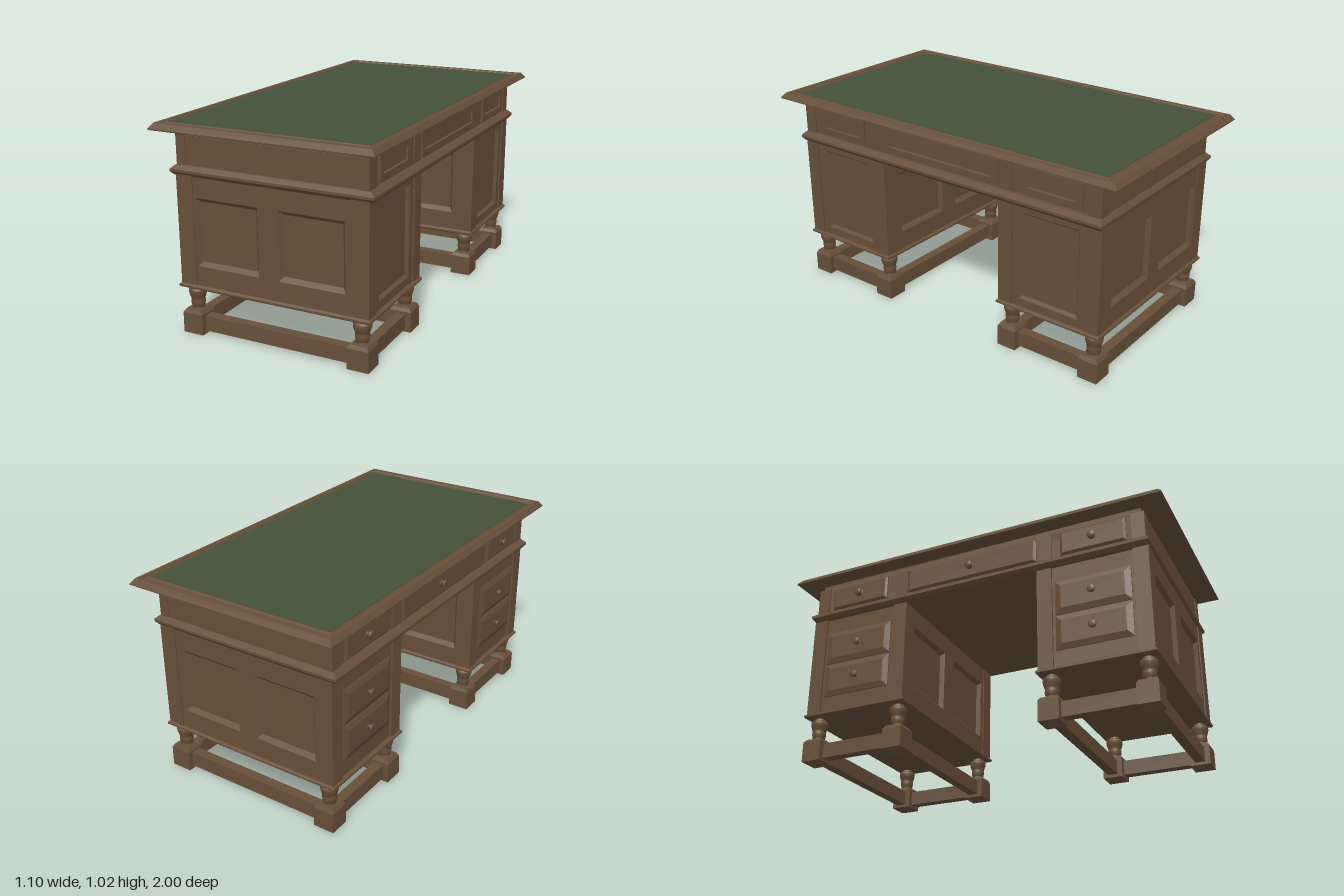
import * as THREE from 'three';

const wood = new THREE.MeshStandardMaterial({ color: 0x674f39 });
wood.name = 'brown wood';
const leather = new THREE.MeshStandardMaterial({ color: 0x43523a });
leather.name = 'green leather';

function add(parent, name, geometry, x = 0, y = 0, z = 0, material = wood) {
  const mesh = new THREE.Mesh(geometry, material);
  mesh.name = name;
  mesh.position.set(x, y, z);
  parent.add(mesh);
  return mesh;
}

const box = (w, h, d) => new THREE.BoxGeometry(w, h, d);

// Flat-sided skin through rectangles [halfWidth, halfHeight, level], closed at its ends
function loft(rings, startCap = true) {
  const pos = [];
  const corners = rings.map(([a, b, h]) => [[-a, -b, h], [a, -b, h], [a, b, h], [-a, b, h]]);
  const quad = (p, q, r, s) => pos.push(...p, ...q, ...r, ...p, ...r, ...s);
  for (let i = 0; i + 1 < corners.length; i++) {
    const p = corners[i], q = corners[i + 1];
    for (let j = 0; j < 4; j++) {
      const k = (j + 1) % 4;
      quad(p[j], p[k], q[k], q[j]);
    }
  }
  quad(...corners[corners.length - 1]);
  if (startCap) quad(...[...corners[0]].reverse());
  const g = new THREE.BufferGeometry();
  g.setAttribute('position', new THREE.Float32BufferAttribute(pos, 3));
  g.computeVertexNormals();
  return g;
}

// The same skin stacked upwards: [halfX, halfZ, y]
const stack = (rings) => loft(rings).rotateX(-Math.PI / 2);

// Rectangular board with rectangular openings [cx, cy, halfW, halfH]
function frame(hw, hh, depth, holes = []) {
  const rect = (path, x, y, w, h) => {
    path.moveTo(x - w, y - h);
    path.lineTo(x + w, y - h);
    path.lineTo(x + w, y + h);
    path.lineTo(x - w, y + h);
    path.closePath();
    return path;
  };
  const shape = rect(new THREE.Shape(), 0, 0, hw, hh);
  for (const h of holes) shape.holes.push(rect(new THREE.Path(), ...h));
  return new THREE.ExtrudeGeometry(shape, { depth, bevelEnabled: false });
}

// Group whose local z points out of one side of the desk
function side(parent, name, angle) {
  const g = new THREE.Group();
  g.name = name;
  g.rotation.y = angle;
  parent.add(g);
  return g;
}

const lathe = (points, segments) =>
  new THREE.LatheGeometry(points.map(([r, y]) => new THREE.Vector2(r, y)), segments);

const knobGeometry = lathe([[0.019, -0.005], [0.019, 0.001], [0.009, 0.003], [0.009, 0.011],
  [0.019, 0.015], [0.02, 0.02], [0.014, 0.025], [0, 0.026]], 16).rotateX(Math.PI / 2);

const turning = new THREE.SplineCurve([[0.03, 0.13], [0.034, 0.148], [0.033, 0.165], [0.036, 0.175],
  [0.042, 0.195], [0.042, 0.212], [0.034, 0.22]].map(([x, y]) => new THREE.Vector2(x, y)));
const legGeometry = new THREE.LatheGeometry([new THREE.Vector2(0.031, 0.105),
  new THREE.Vector2(0.031, 0.12), new THREE.Vector2(0.026, 0.124), ...turning.getPoints(18),
  new THREE.Vector2(0.028, 0.223), new THREE.Vector2(0.028, 0.24)], 20);

function makePedestal() {
  const g = new THREE.Group();
  g.name = 'pedestal';
  add(g, 'cabinetCore', box(0.9, 0.53, 0.49), 0, 0.51, 0);
  add(g, 'baseMoulding', stack([[0.485, 0.28, 0.23], [0.493, 0.284, 0.234],
    [0.493, 0.284, 0.243], [0.482, 0.276, 0.25]]));

  // Panelled ends
  for (const s of [1, -1]) {
    const end = side(g, 'panelledEnd', s > 0 ? 0 : Math.PI);
    const holes = [-0.215, 0.215].map((x) => [x - 0.01 * s, -0.002, 0.164, 0.164]);
    add(end, 'endFrame', frame(0.4, 0.26, 0.03, holes), 0, 0.51, 0.24);
    for (const [x, y] of holes) {
      add(end, 'sunkPanel', loft([[0.164, 0.164, 0], [0.147, 0.144, -0.02]], false), x, 0.51 + y, 0.27);
    }
  }

  // Panelled outer side
  const outer = side(g, 'panelledSide', Math.PI / 2);
  add(outer, 'sideFrame', frame(0.205, 0.26, 0.03, [[0, 0, 0.16, 0.22]]), 0, 0.51, 0.445);
  add(outer, 'sidePanel', loft([[0.16, 0.22, 0], [0.148, 0.208, -0.016]], false), 0, 0.51, 0.475);

  // Drawer side
  const front = side(g, 'drawerSide', -Math.PI / 2);
  add(front, 'drawerFrame', frame(0.205, 0.26, 0.03), 0, 0.51, 0.443);
  for (const y of [0.599, 0.417]) {
    add(front, 'drawer', loft([[0.185, 0.087, 0], [0.185, 0.087, 0.005],
      [0.155, 0.059, 0.014]]), 0, y, 0.473);
    add(front, 'knob', knobGeometry, 0, y, 0.485);
  }

  // Corner posts, turned legs and feet
  for (const sx of [-1, 1]) {
    for (const sz of [-1, 1]) {
      add(g, 'cornerPost', box(0.085, 0.53, 0.075), sx * 0.4405, 0.51, sz * 0.2375);
      add(g, 'turnedLeg', legGeometry, sx * 0.43, 0, sz * 0.228);
      add(g, 'foot', stack([[0.004, 0.004, 0.03], [0.048, 0.046, 0], [0.053, 0.051, 0],
        [0.053, 0.051, 0.1], [0.042, 0.042, 0.117]]), sx * 0.43, 0, sz * 0.228);
    }
  }

  // Stretchers
  for (const s of [-1, 1]) {
    add(g, 'longStretcher', box(0.78, 0.075, 0.05), 0, 0.0525, s * 0.228);
    add(g, 'shortStretcher', box(0.05, 0.075, 0.38), s * 0.43, 0.0525, 0);
  }
  return g;
}

export function createModel() {
  const desk = new THREE.Group();
  desk.name = 'pedestalDesk';

  for (const s of [-1, 1]) {
    const pedestal = makePedestal();
    pedestal.position.z = s * 0.63;
    desk.add(pedestal);
  }

  // Frieze with its lower moulding and upper neck
  add(desk, 'frieze', stack([[0.495, 0.9, 0.768], [0.509, 0.914, 0.785], [0.509, 0.914, 0.797],
    [0.487, 0.897, 0.816], [0.474, 0.893, 0.818], [0.474, 0.893, 0.955],
    [0.468, 0.878, 0.968], [0.468, 0.878, 0.988]]));
  for (const sx of [-1, 1]) {
    for (const sz of [-1, 1]) {
      add(desk, 'friezePost', box(0.05, 0.143, 0.066), sx * 0.456, 0.8865, sz * 0.863);
      add(desk, 'friezeDivider', box(0.03, 0.135, 0.075), sx * 0.464, 0.8865, sz * 0.393);
    }
  }

  // False drawers on one side, drawers with knobs on the other
  const falseSide = side(desk, 'falseDrawerSide', Math.PI / 2);
  const drawerSide = side(desk, 'friezeDrawerSide', -Math.PI / 2);
  for (const [z, hw] of [[-0.64, 0.163], [0, 0.352], [0.64, 0.163]]) {
    add(falseSide, 'falseDrawer', loft([[hw, 0.065, 0], [hw, 0.065, 0.01],
      [hw - 0.038, 0.03, 0.01], [hw - 0.041, 0.026, 0.002]], false), z, 0.889, 0.474);
    add(drawerSide, 'friezeDrawer', loft([[hw, 0.062, 0], [hw, 0.062, 0.005],
      [hw - 0.012, 0.052, 0.012]]), z, 0.887, 0.474);
    add(drawerSide, 'knob', knobGeometry, z, 0.887, 0.485);
  }

  // Top with bevelled edge, grooved border and inlay
  add(desk, 'deskTop', stack([[0.538, 0.988, 0.985], [0.55, 1, 0.99], [0.55, 1, 0.995],
    [0.532, 0.98, 1.019], [0.516, 0.953, 1.019], [0.511, 0.948, 1.012],
    [0.505, 0.939, 1.012], [0.5, 0.934, 1.018], [0.495, 0.926, 1.018], [0.491, 0.922, 1.012]]));
  add(desk, 'writingSurface', box(0.98, 0.008, 1.842), 0, 1.013, 0, leather);

  return desk;
}
